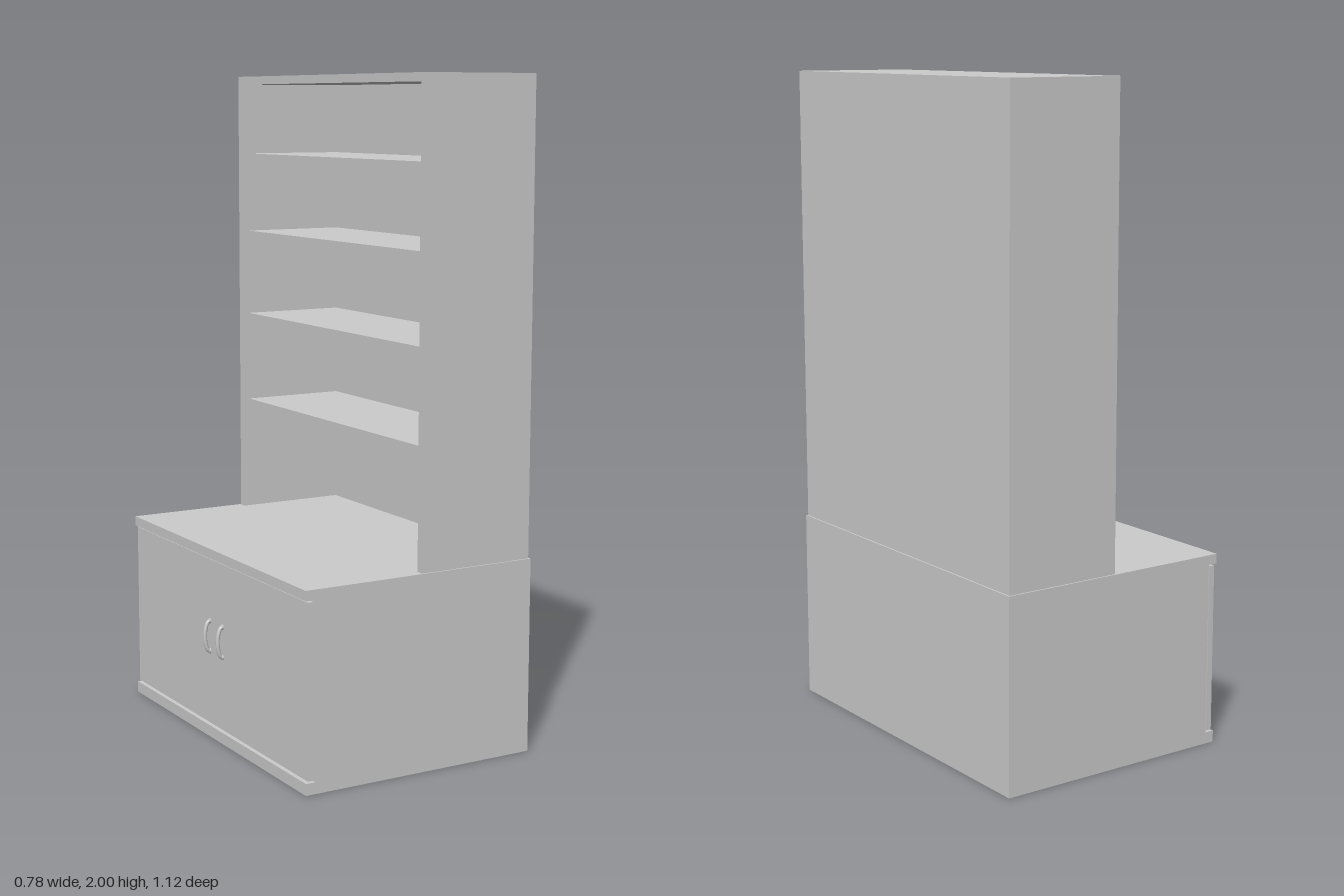
import * as THREE from 'three';

export function createModel() {
  const root = new THREE.Group();
  const material = new THREE.MeshStandardMaterial({ color: 0xcccccc });

  // Box given by its lower and upper limits on each axis
  function panel(name, x0, x1, y0, y1, z0, z1, parent = root) {
    const mesh = new THREE.Mesh(new THREE.BoxGeometry(x1 - x0, y1 - y0, z1 - z0), material);
    mesh.position.set((x0 + x1) / 2, (y0 + y1) / 2, (z0 + z1) / 2);
    mesh.name = name;
    parent.add(mesh);
    return mesh;
  }

  // Lower cupboard, opening towards -x
  const base = new THREE.Group();
  base.name = 'baseCupboard';
  root.add(base);
  panel('baseBottom', -0.375, 0.387, 0, 0.035, -0.56, 0.56, base);
  panel('baseBody', -0.345, 0.387, 0.035, 0.56, -0.56, 0.56, base);
  panel('worktop', -0.375, 0.387, 0.56, 0.59, -0.56, 0.56, base);

  // Pair of doors, each with a bowed handle
  for (const side of [-1, 1]) {
    const z = [side * 0.003, side * 0.558].sort((a, b) => a - b);
    panel('door', -0.368, -0.349, 0.04, 0.555, z[0], z[1], base);

    const path = new THREE.CatmullRomCurve3([
      [-0.366, 0.265], [-0.376, 0.272], [-0.383, 0.292], [-0.385, 0.315],
      [-0.383, 0.338], [-0.376, 0.358], [-0.366, 0.365],
    ].map(([x, y]) => new THREE.Vector3(x, y, side * 0.042)));
    const handle = new THREE.Mesh(new THREE.TubeGeometry(path, 24, 0.006, 10), material);
    handle.name = 'handle';
    base.add(handle);

    // Round mounting plates at the handle ends
    for (const y of [0.268, 0.362]) {
      const foot = new THREE.Mesh(new THREE.CylinderGeometry(0.008, 0.008, 0.006, 12), material);
      foot.rotation.z = Math.PI / 2;
      foot.position.set(-0.37, y, side * 0.042);
      foot.name = 'handleFoot';
      base.add(foot);
    }
  }

  // Tall open shelf unit standing on the worktop
  const hutch = new THREE.Group();
  hutch.name = 'shelfUnit';
  root.add(hutch);
  panel('hutchSideRight', 0.01, 0.382, 0.59, 1.975, -0.555, -0.53, hutch);
  panel('hutchSideLeft', 0.01, 0.382, 0.59, 1.975, 0.53, 0.555, hutch);
  panel('hutchTop', 0.01, 0.382, 1.975, 2, -0.555, 0.555, hutch);
  panel('hutchBack', 0.362, 0.382, 0.59, 1.975, -0.53, 0.53, hutch);
  for (const y of [0.95, 1.235, 1.505, 1.755]) {
    panel('shelf', 0.03, 0.362, y - 0.026, y, -0.53, 0.53, hutch);
  }

  return root;
}
